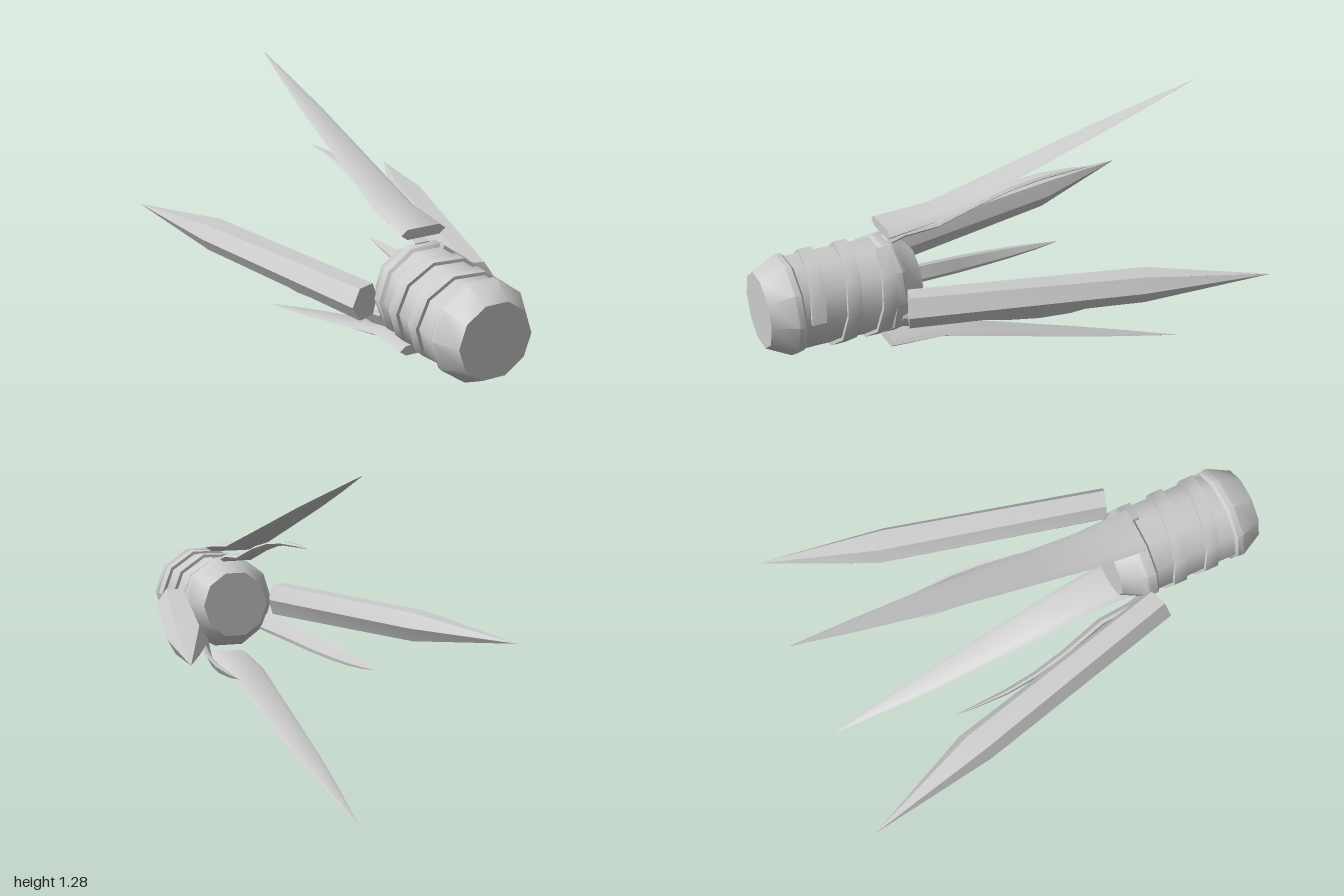
import * as THREE from 'three';
import { toCreasedNormals } from 'three/addons/utils/BufferGeometryUtils.js';

// Skin a run of equal-sized rings; each ring is counter-clockwise seen from its start end
function loft(rings, crease = 0.66) {
  const pos = [];
  const tri = (a, b, c) => pos.push(...a, ...b, ...c);
  const n = rings[0].length;
  for (let i = 0; i < rings.length - 1; i++) {
    for (let j = 0; j < n; j++) {
      const k = (j + 1) % n;
      const a = rings[i][j], b = rings[i][k], c = rings[i + 1][k], d = rings[i + 1][j];
      tri(a, d, b);
      tri(b, d, c);
    }
  }
  const first = rings[0], last = rings[rings.length - 1];
  for (let j = 1; j < n - 1; j++) {
    tri(first[0], first[j], first[j + 1]);
    tri(last[0], last[j + 1], last[j]);
  }
  const geo = new THREE.BufferGeometry();
  geo.setAttribute('position', new THREE.Float32BufferAttribute(pos, 3));
  return toCreasedNormals(geo, crease);
}

// Flattened hexagon: half width w, flat half width f, half thickness t
const flatHex = ([w, f, t, y, z]) => [
  [w, y, z], [f, y + t, z], [-f, y + t, z], [-w, y, z], [-f, y - t, z], [f, y - t, z],
];

export function createModel() {
  const model = new THREE.Group();
  const metal = new THREE.MeshStandardMaterial({ color: 0xcccccc });
  metal.name = 'light grey metal';

  // Everything radiates from the hub axis
  const axis = new THREE.Group();
  axis.name = 'assembly';
  axis.position.y = 0.65;
  model.add(axis);
  const add = (name, geo, angle = 0) => {
    const mesh = new THREE.Mesh(geo, metal);
    mesh.name = name;
    mesh.rotation.z = angle;
    axis.add(mesh);
  };

  // Ten-sided hub with chamfered ends and a collar at each end
  const SIDES = 10;
  const decagon = (r, z) => Array.from({ length: SIDES }, (_, i) => {
    const a = (i / SIDES) * Math.PI * 2;
    return [r * Math.cos(a), r * Math.sin(a), z];
  });
  const hubProfile = [[0.158, 1], [0.21, 0.9], [0.208, 0.875], [0.195, 0.865],
    [0.195, 0.5], [0.208, 0.49], [0.208, 0.45], [0.185, 0.42], [0.148, 0.35]];
  add('hub', loft(hubProfile.map(([r, z]) => decagon(r, z)), 0.7));

  // Raised spiral band around the hub
  const spiral = [];
  const turns = 2.2, pitch = 0.15, half = 0.03;
  for (let i = 0; i <= turns * SIDES; i++) {
    const a = (i / SIDES) * Math.PI * 2;
    const z = 0.82 - (pitch * i) / SIDES;
    spiral.push([[0.18, z - half], [0.209, z - half], [0.209, z + half], [0.18, z + half]]
      .map(([r, h]) => [r * Math.cos(a), r * Math.sin(a), h]));
  }
  add('spiralBand', loft(spiral, 0.7));

  // Thin upper and lower blades: [w, f, t, y, z] stations
  const thinBlade = loft([
    [0.1, 0.072, 0.021, 0.25, 0.47],
    [0.086, 0.06, 0.016, 0.274, 0.23],
    [0.075, 0.05, 0.01, 0.342, 0],
    [0.05, 0.033, 0.007, 0.491, -0.5],
    [0.028, 0.018, 0.004, 0.565, -0.75],
    [0.001, 0.0005, 0.0005, 0.64, -1],
  ].map(flatHex));
  add('upperBlade', thinBlade);
  add('lowerBlade', thinBlade, Math.PI);

  // Heavy hexagonal side blades: [x, y, z] corners, swept outward to a point
  const hexRing = (outer, flatOuter, flatInner, inner, h) => [
    [outer[0], 0, outer[1]], [flatOuter[0], h, flatOuter[1]], [flatInner[0], h, flatInner[1]],
    [inner[0], 0, inner[1]], [flatInner[0], -h, flatInner[1]], [flatOuter[0], -h, flatOuter[1]],
  ];
  const tip = [0.64, -1];
  const sideBlade = loft([
    hexRing([0.325, 0.49], [0.285, 0.475], [0.215, 0.45], [0.19, 0.44], 0.068),
    hexRing([0.56, -0.45], [0.53, -0.465], [0.45, -0.51], [0.42, -0.53], 0.057),
    hexRing(tip, tip, tip, tip, 0.0005),
  ], 0.3);
  add('leftBlade', sideBlade);
  add('rightBlade', sideBlade, Math.PI);

  // Three slender curved fins spaced evenly around the hub
  const fin = loft([
    [0.04, 0.03, 0.012, 0.19, 0.46],
    [0.04, 0.03, 0.012, 0.212, 0.38],
    [0.04, 0.028, 0.011, 0.222, 0.23],
    [0.038, 0.026, 0.01, 0.282, 0.03],
    [0.033, 0.022, 0.009, 0.315, -0.12],
    [0.026, 0.017, 0.008, 0.331, -0.26],
    [0.014, 0.009, 0.005, 0.333, -0.4],
    [0.001, 0.0005, 0.0005, 0.33, -0.5],
  ].map(flatHex));
  ['upperFin', 'lowerRightFin', 'lowerLeftFin'].forEach((name, i) => {
    add(name, fin, (i * Math.PI * 2) / 3);
  });

  return model;
}
